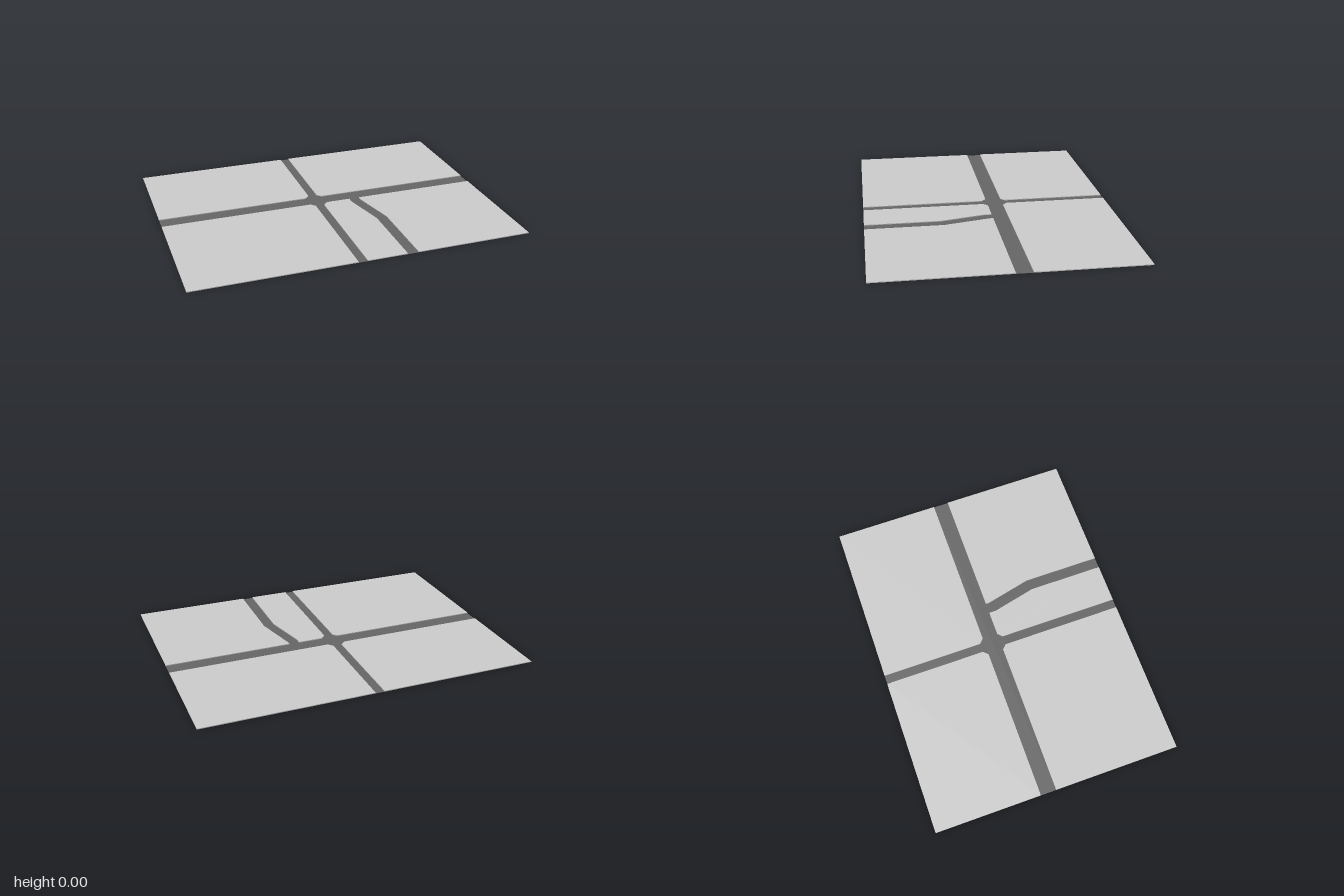
import * as THREE from 'three';

const H = 0.005;                       // kerb height
const X = 1, Z = 0.75;                 // half extents of the site
const W = -0.055, E = 0;               // edges of the cross street
const N = -0.107, S = -0.012;          // edges of the main street
const C = 0.027;                       // corner cut at the crossing

// Side street edges, from the main street to the front border
const laneWest = [[0.175, S], [0.175, 0.03], [0.237, 0.295], [0.237, Z]];
const laneEast = [[0.24, S], [0.24, 0.01], [0.304, 0.285], [0.304, Z]];

const landMaterial = new THREE.MeshStandardMaterial({ color: 0xcccccc });
const roadMaterial = new THREE.MeshStandardMaterial({ color: 0x666666, side: THREE.DoubleSide });

// Outline given as [x, z] points
const outline = (points) => new THREE.Shape(points.map(([x, z]) => new THREE.Vector2(x, -z)));

export function createModel() {
  const group = new THREE.Group();

  const add = (name, geometry, material) => {
    geometry.rotateX(-Math.PI / 2);
    const mesh = new THREE.Mesh(geometry, material);
    mesh.name = name;
    group.add(mesh);
  };
  const block = (name, points) =>
    add(name, new THREE.ExtrudeGeometry(outline(points), { depth: H, bevelEnabled: false }), landMaterial);
  const road = (name, points) => add(name, new THREE.ShapeGeometry(outline(points)), roadMaterial);

  // Raised city blocks, with the corners at the crossing cut off
  block('backRightBlock', [[-X, -Z], [W, -Z], [W, N - C], [W - C, N], [-X, N]]);
  block('backLeftBlock', [[X, -Z], [E, -Z], [E, N - C], [E + C, N], [X, N]]);
  block('frontRightBlock', [[-X, Z], [W, Z], [W, S + C], [W - C, S], [-X, S]]);
  block('frontMiddleBlock', [[E, Z], [E, S + C], [E + C, S], ...laneWest]);
  block('frontLeftBlock', [[X, Z], [X, S], ...laneEast]);

  // Sunken streets
  road('mainStreet', [[-X, N], [X, N], [X, S], [-X, S]]);
  road('backStreet', [[W, -Z], [E, -Z], [E, N - C], [E + C, N], [W - C, N], [W, N - C]]);
  road('frontStreet', [[W, Z], [E, Z], [E, S + C], [E + C, S], [W - C, S], [W, S + C]]);
  road('sideStreet', [...laneWest, ...laneEast.slice().reverse()]);

  return group;
}
